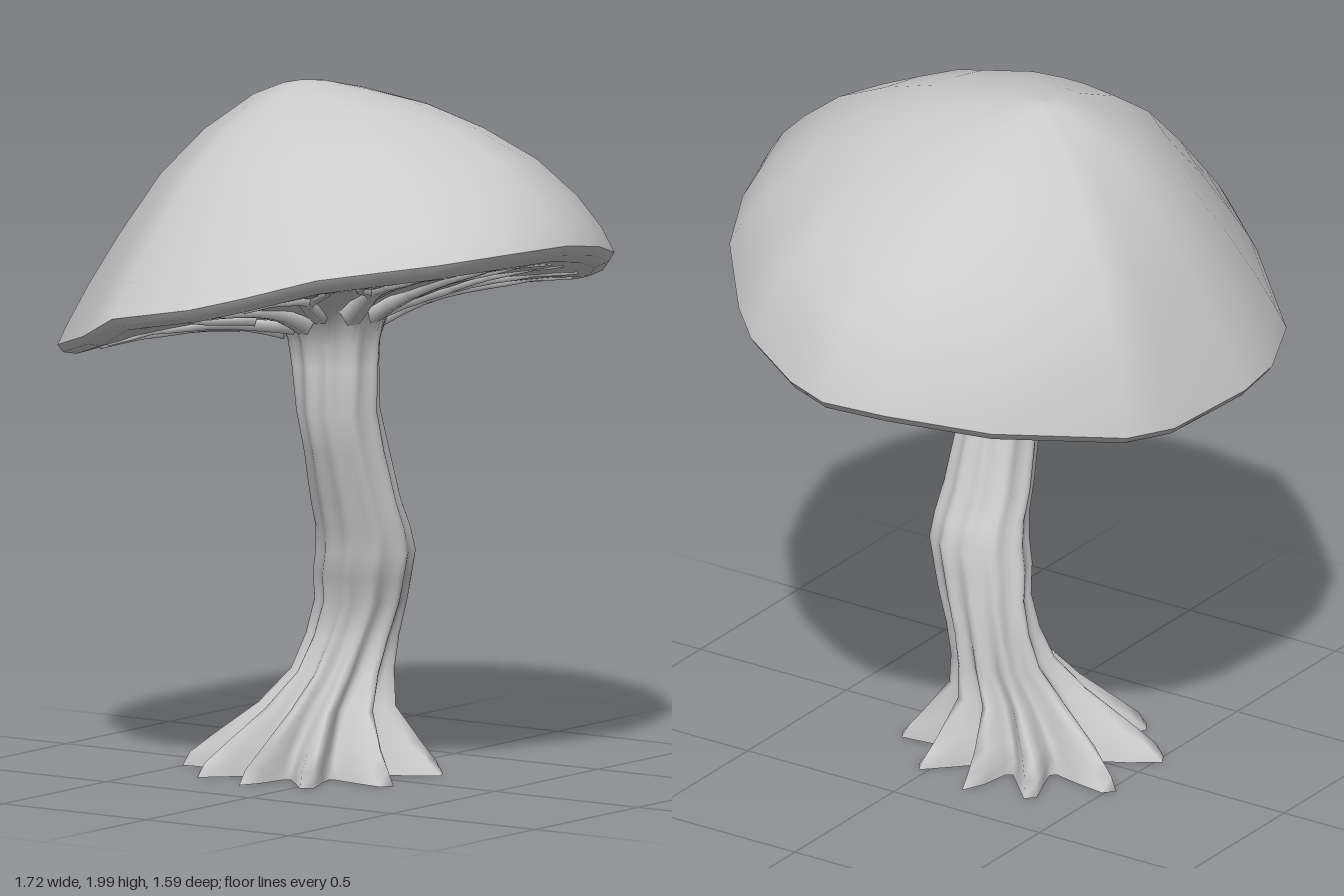
import * as THREE from 'three';

const grey = new THREE.MeshStandardMaterial({ color: 0xcccccc, side: THREE.DoubleSide });
grey.name = 'pale grey';

// Cap rim: x, y, z going round from the left side
const RIM = [
  [0.86, 1.36, 0], [0.83, 1.38, 0.13], [0.72, 1.42, 0.34], [0.62, 1.45, 0.45], [0.4, 1.52, 0.63],
  [0.2, 1.57, 0.72], [-0.05, 1.61, 0.79], [-0.28, 1.61, 0.75], [-0.5, 1.6, 0.67], [-0.73, 1.56, 0.4],
  [-0.82, 1.5, 0.2], [-0.86, 1.46, 0.05], [-0.86, 1.41, -0.22], [-0.75, 1.33, -0.4], [-0.5, 1.25, -0.67],
  [-0.28, 1.24, -0.77], [-0.1, 1.24, -0.8], [0.23, 1.24, -0.78], [0.4, 1.26, -0.73], [0.7, 1.32, -0.47],
  [0.84, 1.36, -0.2],
].map(p => new THREE.Vector3(...p));
const APEX = new THREE.Vector3(-0.03, 2, -0.15);
const HUB = new THREE.Vector3(-0.06, 1.45, -0.02);

// Dome profiles every 45 degrees from +x towards +z: share of the full height at each ring
const RADII = [1, 0.96, 0.88, 0.75, 0.58, 0.4, 0.2, 0.08, 0];
const DOME = [
  [0, 0.15, 0.36, 0.52, 0.69, 0.84, 0.94, 0.985, 1],
  [0, 0.15, 0.34, 0.54, 0.72, 0.86, 0.95, 0.99, 1],
  [0, 0.14, 0.33, 0.57, 0.75, 0.88, 0.96, 0.99, 1],
  [0, 0.08, 0.22, 0.42, 0.66, 0.85, 0.95, 0.99, 1],
  [0, 0.08, 0.21, 0.42, 0.66, 0.83, 0.945, 0.99, 1],
  [0, 0.08, 0.22, 0.42, 0.65, 0.82, 0.95, 0.99, 1],
  [0, 0.07, 0.2, 0.4, 0.64, 0.81, 0.93, 0.985, 1],
  [0, 0.14, 0.34, 0.53, 0.69, 0.83, 0.93, 0.985, 1],
];

// Smooth surface through a list of equal closed rings
function loft(name, rings) {
  const n = rings[0].length, index = [];
  for (let i = 0; i < rings.length - 1; i++) {
    for (let j = 0; j < n; j++) {
      const a = i * n + j, b = i * n + (j + 1) % n;
      index.push(a, a + n, b, b, a + n, b + n);
    }
  }
  const geo = new THREE.BufferGeometry().setFromPoints(rings.flat());
  geo.setIndex(index);
  geo.computeVertexNormals();
  const mesh = new THREE.Mesh(geo, grey);
  mesh.name = name;
  return mesh;
}

// Rim point at any angle around the hub
const TAU = Math.PI * 2;
const wrap = a => ((a % TAU) + TAU) % TAU;
const angleOf = p => wrap(Math.atan2(p.z - HUB.z, p.x - HUB.x));
function rimAt(angle) {
  for (let i = 0; i < RIM.length; i++) {
    const p = RIM[i], q = RIM[(i + 1) % RIM.length];
    const t = wrap(angle - angleOf(p)) / wrap(angleOf(q) - angleOf(p));
    if (t <= 1) return p.clone().lerp(q, t);
  }
  return RIM[0].clone();
}

// Underside of the cap: s runs from the hub (0) to the rim (1), with a rolled lip
function underPoint(rim, s) {
  const p = HUB.clone().lerp(rim, s);
  p.y -= 0.045 * Math.sin(Math.PI * s);
  if (s < 1) p.y -= 0.03 * Math.max(0, 1 - Math.abs(s - 0.93) / 0.2);
  return p;
}
// The same surface, sagging in folds where it melts into the stem
function gillPoint(angle, s) {
  const p = underPoint(rimAt(angle), s);
  p.y -= (0.18 + 0.03 * Math.cos(12 * angle)) * Math.max(0, 1 - s / 0.58) ** 2;
  return p;
}

function capTop() {
  const rings = RADII.map((r, k) => RIM.map(rim => {
    const turn = wrap(Math.atan2(rim.z - APEX.z, rim.x - APEX.x)) / TAU * 8;
    const i = Math.floor(turn) % 8;
    const share = THREE.MathUtils.lerp(DOME[i][k], DOME[(i + 1) % 8][k], turn - i);
    const p = APEX.clone().lerp(rim, r);
    p.y = rim.y + (APEX.y - rim.y) * share;
    return p;
  }));
  return loft('capTop', rings);
}

function capUnderside() {
  return loft('capUnderside', [0.02, 0.3, 0.6, 0.8, 0.93, 0.98, 1].map(s => RIM.map(rim => underPoint(rim, s))));
}

// Stem sections: y, centre x, centre z, radius x, radius z, root ridge height
const STEM = [
  [0.01, 0.025, -0.155, 0.2, 0.2, 0.18],
  [0.05, 0.025, -0.155, 0.19, 0.19, 0.16],
  [0.1, 0.03, -0.145, 0.175, 0.175, 0.12],
  [0.2, 0.045, -0.12, 0.14, 0.135, 0.06],
  [0.3, 0.08, -0.09, 0.12, 0.115, 0.03],
  [0.4, 0.1, -0.07, 0.105, 0.115, 0.02],
  [0.5, 0.105, -0.045, 0.1, 0.125, 0.015],
  [0.58, 0.085, -0.025, 0.115, 0.135, 0.012],
  [0.65, 0.08, -0.01, 0.12, 0.135, 0.012],
  [0.72, 0.06, -0.005, 0.115, 0.13, 0.01],
  [0.8, 0.025, -0.005, 0.11, 0.125, 0.01],
  [0.95, -0.02, -0.005, 0.115, 0.11, 0.01],
  [1.07, -0.06, -0.005, 0.115, 0.11, 0.01],
  [1.2, -0.06, -0.015, 0.11, 0.12, 0.012],
  [1.27, -0.06, -0.02, 0.115, 0.125, 0.015],
];

function stem() {
  const n = 60;
  const angles = Array.from({ length: n }, (_, j) => j / n * TAU);
  const rings = STEM.map(([y, cx, cz, rx, rz, ridge]) => angles.map(a => {
    const wave = 0.5 + 0.5 * Math.cos(10 * a + 0.7 * Math.sin(2 * a) + 4 * y);
    // Longest roots reach to the front and back
    const grow = ridge * wave ** 1.5 * (1 - 0.12 * Math.cos(2 * a));
    return new THREE.Vector3(cx + (rx + grow) * Math.cos(a), y, cz + (rz + grow) * Math.sin(a));
  }));
  // Trumpet-shaped top spreading under the cap
  for (const s of [0.2, 0.28, 0.38, 0.48, 0.58]) rings.push(angles.map(a => gillPoint(a, s)));
  return loft('stem', rings);
}

// Tapered vein hanging from the underside, bending as it runs outward
function vein(angle, s0, s1, bend, width) {
  const steps = 9, rings = [];
  for (let i = 0; i <= steps; i++) {
    const t = i / steps, s = s0 + (s1 - s0) * t;
    const a = angle + bend * t + 0.05 * Math.sin(7 * t + angle * 5);
    const c = gillPoint(a, s), w = width * (1 - 0.8 * t);
    const side = new THREE.Vector3(-Math.sin(a), 0, Math.cos(a));
    rings.push([[1, 0.4], [0.4, -0.6], [-0.4, -0.6], [-1, 0.4]].map(([u, v]) => {
      const p = c.clone().addScaledVector(side, u * w);
      p.y += v * w;
      return p;
    }));
  }
  return loft('vein', rings);
}

function veins() {
  const group = new THREE.Group();
  group.name = 'veins';
  const count = 12;
  for (let i = 0; i < count; i++) {
    const a = (i + 0.25 * Math.sin(i * 5.3)) / count * TAU;
    const turn = i % 2 ? 1 : -1;
    group.add(vein(a, 0.18, 0.88 + 0.05 * Math.sin(i * 3.1), 0.1 * turn, 0.042));
    group.add(vein(a, 0.34, 0.85, -0.26 * turn, 0.03));
  }
  return group;
}

export function createModel() {
  const model = new THREE.Group();
  model.name = 'mushroom';
  model.add(capTop(), capUnderside(), stem(), veins());
  return model;
}
